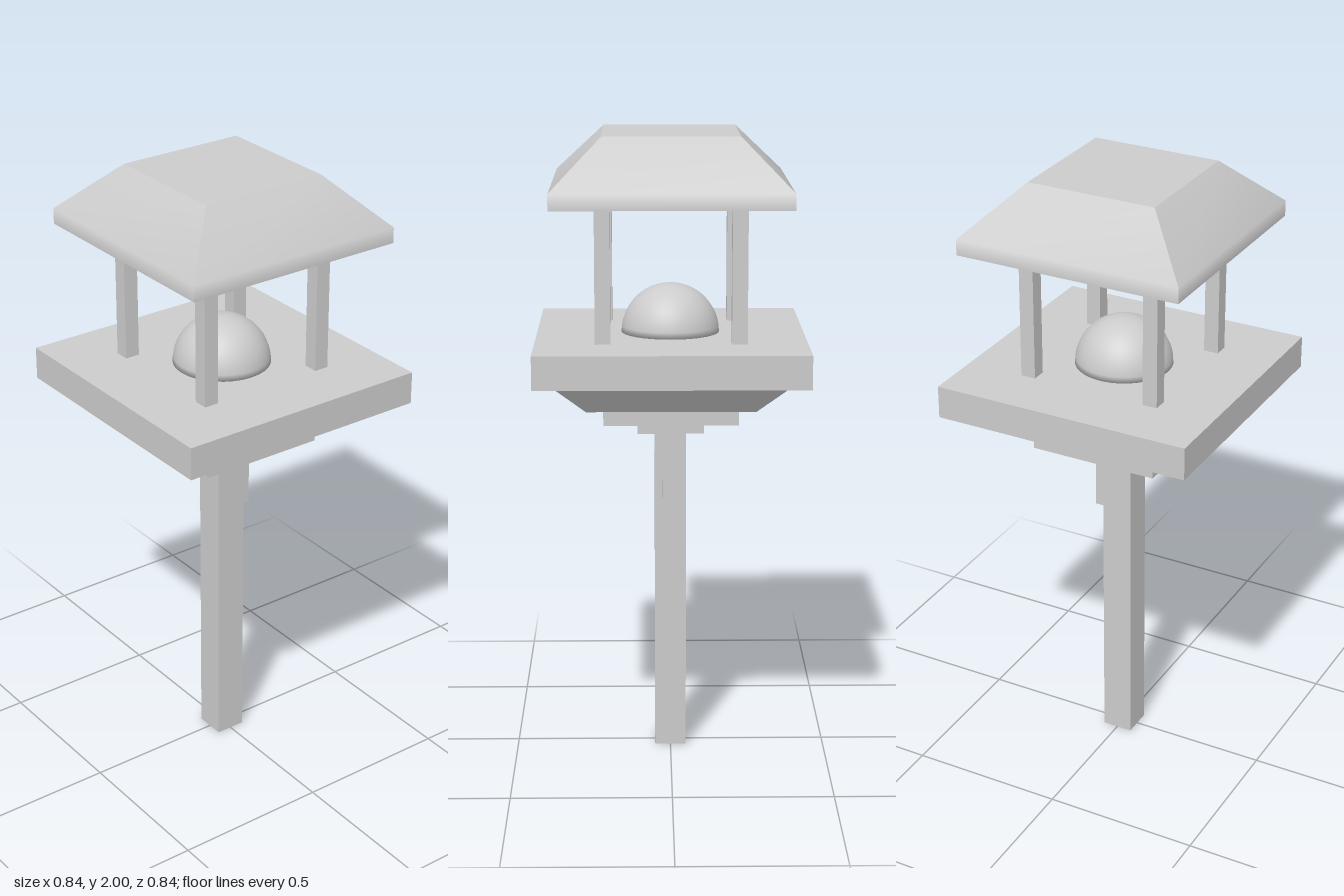
import * as THREE from 'three';
import { mergeGeometries } from 'three/addons/utils/BufferGeometryUtils.js';

const flat = new THREE.MeshStandardMaterial({ color: 0xcccccc, flatShading: true });
const smooth = new THREE.MeshStandardMaterial({ color: 0xcccccc });

export function createModel() {
  const model = new THREE.Group();

  function add(name, geometry, material = flat) {
    const mesh = new THREE.Mesh(geometry, material);
    mesh.name = name;
    model.add(mesh);
    return mesh;
  }

  // Square block or frustum between two heights, given half widths
  function squareBlock(name, y0, y1, half0, half1 = half0, x = 0, z = 0) {
    const geo = new THREE.CylinderGeometry(half1 * Math.SQRT2, half0 * Math.SQRT2, y1 - y0, 4);
    geo.rotateY(Math.PI / 4);
    geo.translate(x, (y0 + y1) / 2, z);
    return add(name, geo);
  }

  // Stand: post, side bracket and stepped plates
  squareBlock('post', 0, 1.06, 0.05);
  add('sideBracket', new THREE.BoxGeometry(0.04, 0.215, 0.05).translate(0.07, 0.9525, 0));
  squareBlock('lowerPlate', 1.06, 1.11, 0.105);
  squareBlock('upperPlate', 1.11, 1.165, 0.21);

  // Tray with tapered underside
  squareBlock('trayUnderside', 1.165, 1.265, 0.262, 0.365);
  squareBlock('tray', 1.265, 1.37, 0.42);

  // Dome on the tray; its rim is shaded softly into the base
  const r = 0.154;
  const profile = [new THREE.Vector2(0, 0)];
  for (let i = 0; i <= 12; i++) {
    const a = (i / 12) * Math.PI / 2;
    profile.push(new THREE.Vector2(i === 12 ? 0 : r * Math.cos(a), r * Math.sin(a)));
  }
  add('dome', new THREE.LatheGeometry(profile, 32).translate(0, 1.37, 0), smooth);

  // Roof supports
  for (const x of [-0.21, 0.21]) {
    for (const z of [-0.21, 0.21]) squareBlock('roofSupport', 1.37, 1.795, 0.024, 0.024, x, z);
  }

  // Roof: each side is a fascia blending into a slope, repeated four times
  const rows = [[0.367, 1.795], [0.367, 1.845], [0.21, 2]];
  const sides = [0, 1, 2, 3].map((i) => {
    const geo = new THREE.BufferGeometry();
    const corners = rows.flatMap(([h, y]) => [-h, y, h, h, y, h]);
    geo.setAttribute('position', new THREE.Float32BufferAttribute(corners, 3));
    geo.setIndex([0, 1, 3, 0, 3, 2, 2, 3, 5, 2, 5, 4]);
    geo.computeVertexNormals();
    return geo.rotateY(i * Math.PI / 2);
  });
  add('roofSides', mergeGeometries(sides), smooth);
  add('roofTop', new THREE.PlaneGeometry(0.42, 0.42).rotateX(-Math.PI / 2).translate(0, 2, 0));
  add('roofBottom', new THREE.PlaneGeometry(0.734, 0.734).rotateX(Math.PI / 2).translate(0, 1.795, 0));

  return model;
}
